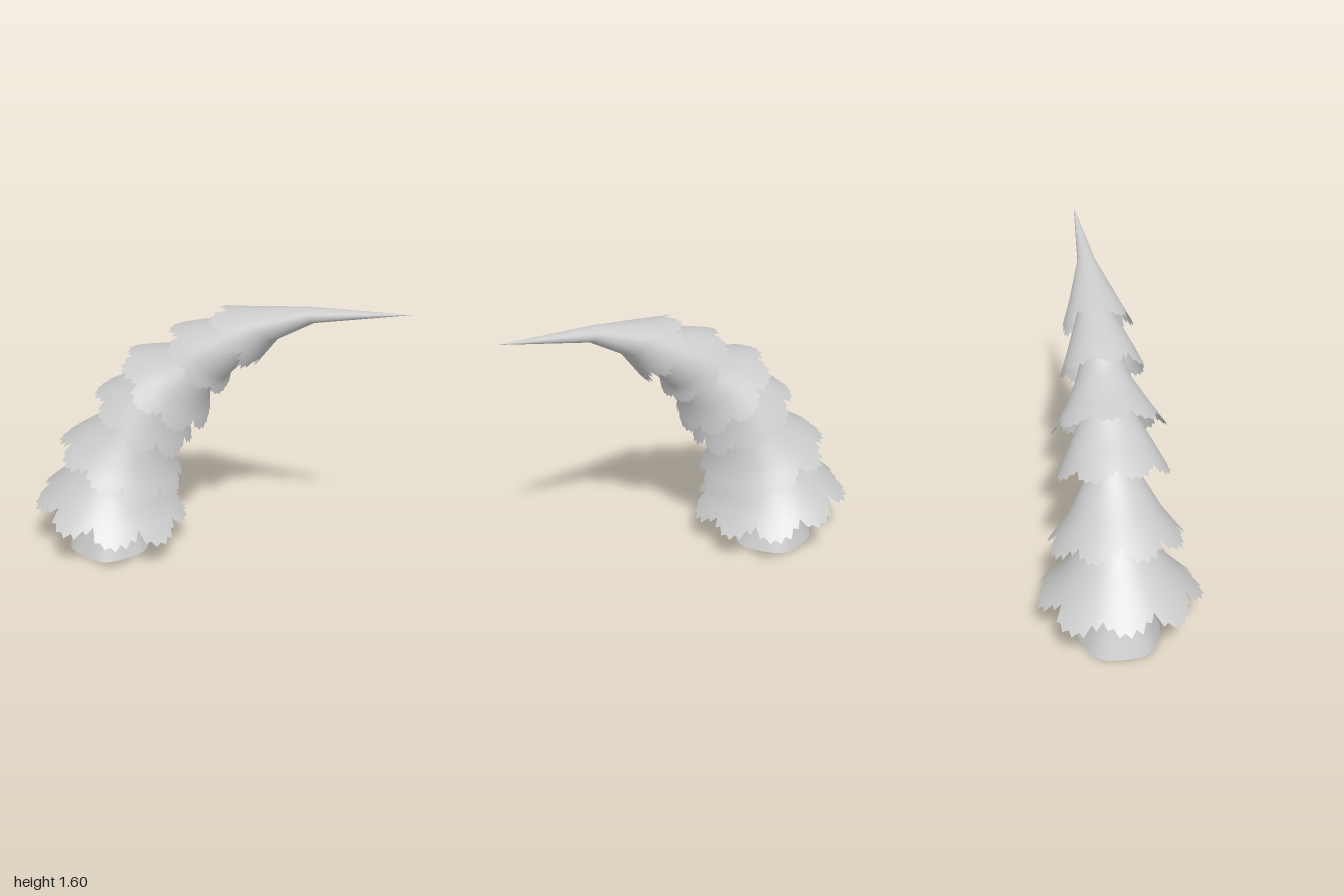
import * as THREE from 'three';

const material = new THREE.MeshStandardMaterial({ color: 0xcccccc, side: THREE.DoubleSide });

// A tilted oval ring: [left x, left y, right x, right y, half depth in z]
function ringPoint([lx, ly, rx, ry, w], angle, lobe = 0) {
  const c = Math.cos(angle), s = Math.sin(angle);
  const k = 1 - lobe * (1 - Math.cos(5 * angle)) / 2;
  return new THREE.Vector3((lx + rx) / 2 + c * k * (rx - lx) / 2, (ly + ry) / 2 + c * k * (ry - ly) / 2, s * k * w);
}

// Skin over rows of points, each row a closed loop, from bottom to top
function loft(name, rows) {
  const n = rows[0].length, index = [];
  for (let i = 0; i < rows.length - 1; i++) {
    for (let j = 0; j < n; j++) {
      const a = i * n + j, b = i * n + (j + 1) % n;
      index.push(a, a + n, b, b, a + n, b + n);
    }
  }
  const geometry = new THREE.BufferGeometry().setFromPoints(rows.flat());
  geometry.setIndex(index);
  geometry.computeVertexNormals();
  const mesh = new THREE.Mesh(geometry, material);
  mesh.name = name;
  return mesh;
}

const loop = (n, f) => Array.from({ length: n }, (_, j) => f(j / n * Math.PI * 2, j));
const mixRings = (a, b, t) => a.map((v, i) => v + (b[i] - v) * t);

// Small seeded generator for uneven fronds
function seeded(seed) {
  return () => (seed = (seed * 16807) % 2147483647) / 2147483647;
}

// Notch depth across one frond: deep slit, then small teeth round the tip
const frond = [1, 0.5, 0.62, 0.12, 0.32, 0, 0.22, 0.06, 0.42, 0.32];

// Rings of each branch tier: hem, middle, neck (the last tier runs out to the tip)
const tiers = [
  [[-1.0, 0.29, -0.16, 0.16, 0.43], [-0.80, 0.47, -0.31, 0.35, 0.26], [-0.66, 0.58, -0.37, 0.49, 0.17], [-0.58, 0.70, -0.39, 0.63, 0.11]],
  [[-0.85, 0.63, -0.18, 0.39, 0.355], [-0.67, 0.755, -0.255, 0.58, 0.23], [-0.50, 0.86, -0.28, 0.73, 0.15], [-0.42, 0.96, -0.27, 0.86, 0.10]],
  [[-0.63, 0.95, -0.13, 0.66, 0.29], [-0.49, 1.03, -0.15, 0.85, 0.215], [-0.34, 1.10, -0.14, 0.98, 0.15], [-0.26, 1.18, -0.11, 1.07, 0.10]],
  [[-0.47, 1.18, -0.03, 0.81, 0.285], [-0.32, 1.22, -0.02, 0.99, 0.20], [-0.17, 1.26, 0.02, 1.08, 0.14], [-0.08, 1.33, 0.07, 1.18, 0.10]],
  [[-0.21, 1.35, 0.08, 1.04, 0.215], [-0.06, 1.40, 0.10, 1.14, 0.17], [0.08, 1.43, 0.20, 1.25, 0.12], [0.19, 1.47, 0.27, 1.34, 0.08]],
  [[0.02, 1.48, 0.22, 1.19, 0.185], [0.20, 1.51, 0.36, 1.38, 0.115], [0.50, 1.56, 0.54, 1.49, 0.045], [1.0, 1.6, 1.0, 1.6, 0]],
];

function branchTier(rings, t) {
  const random = seeded(101 + t * 977);
  const fronds = 9 - Math.floor(t / 2);
  const count = fronds * frond.length;
  const short = loop(fronds, () => random() * 0.12);
  const phase = t * 0.41;
  // The jagged hem slides each point up the slope by the frond's notch depth
  const hem = loop(count, (a, j) => {
    const notch = frond[j % frond.length] * (0.36 + random() * 0.12);
    const up = Math.min(0.48, notch + short[Math.floor(j / frond.length)]);
    return ringPoint(mixRings(rings[0], rings[1], up), a + phase);
  });
  const smooth = [mixRings(rings[0], rings[1], 0.52), ...rings.slice(1)];
  return loft('branchTier' + (t + 1), [hem, ...smooth.map(r => loop(count, a => ringPoint(r, a + phase)))]);
}

export function createModel() {
  const tree = new THREE.Group();
  tree.name = 'bentFirTree';

  // Flared trunk, gently lobed at the foot
  const base = [-0.82, 0, -0.38, 0, 0.22];
  const trunk = [base, [-0.725, 0.2, -0.465, 0.2, 0.135], [-0.66, 0.38, -0.46, 0.36, 0.1], [-0.57, 0.66, -0.42, 0.62, 0.08]];
  const row = (r, i) => loop(40, a => ringPoint(r, a, i ? 0.04 : 0.07));
  tree.add(loft('trunk', trunk.map(row)));
  tree.add(loft('trunkBase', [[-0.6, 0, -0.6, 0, 0], base].map(r => row(r, 0))));

  // Overlapping skirts of branches along the bend
  tiers.forEach((rings, t) => tree.add(branchTier(rings, t)));
  return tree;
}
